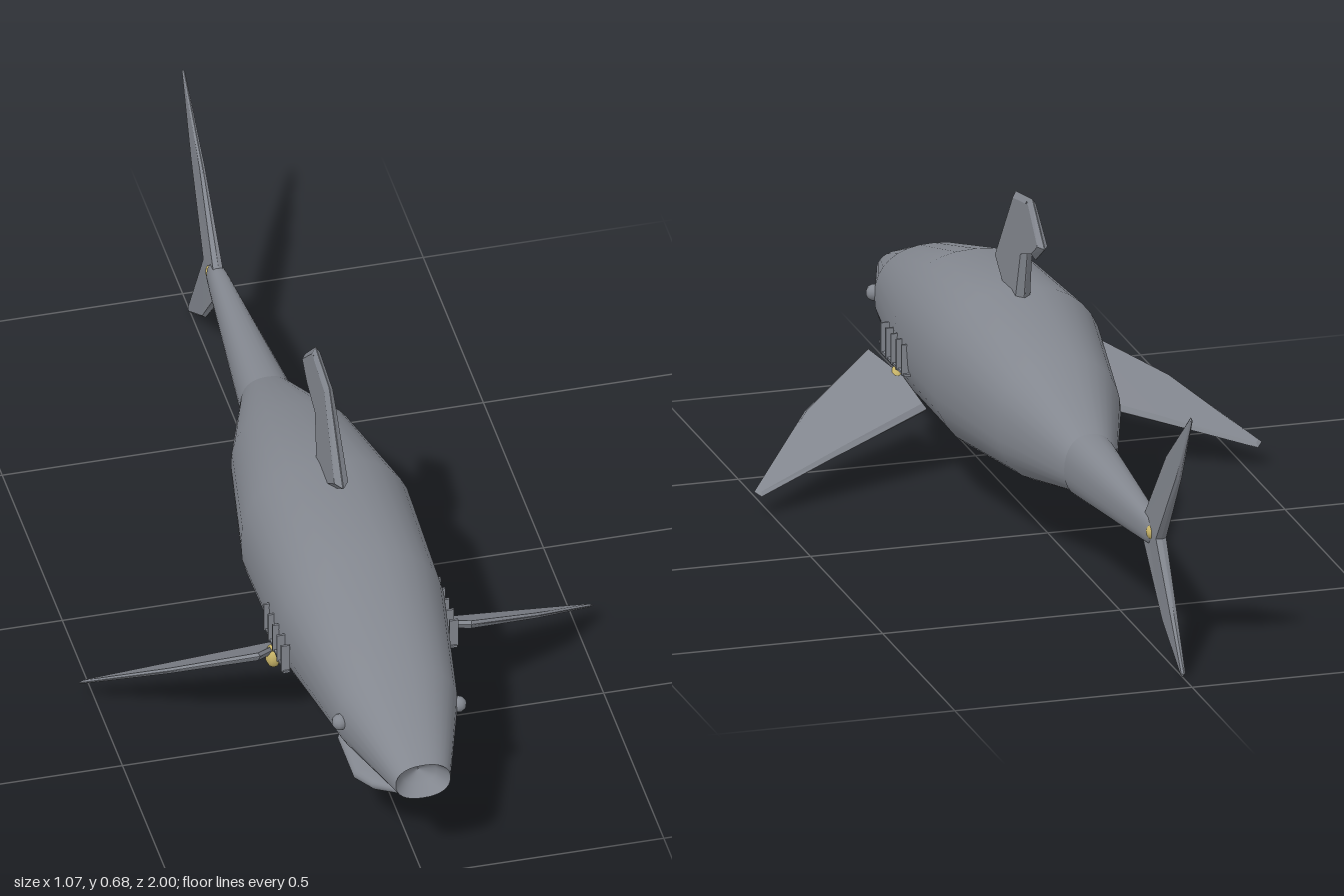
import * as THREE from 'three';

const skin = new THREE.MeshStandardMaterial({ color: 0x83878f });
skin.name = 'grey skin';
const brass = new THREE.MeshStandardMaterial({ color: 0xc8b468 });
brass.name = 'pale yellow joint';

// Skin over rounded rings [z, centreY, halfWidth, halfHeight], listed front to back
function loft(rings, capped = true, squareness = 2.3, sides = 32) {
  const pos = [], idx = [], n = rings.length;
  const round = v => Math.sign(v) * Math.pow(Math.abs(v), 2 / squareness);
  for (const [z, cy, rx, ry] of rings) {
    for (let j = 0; j < sides; j++) {
      const a = j / sides * Math.PI * 2;
      pos.push(rx * round(Math.cos(a)), cy + ry * round(Math.sin(a)), z);
    }
  }
  for (let i = 0; i < n - 1; i++) {
    for (let j = 0; j < sides; j++) {
      const k = (j + 1) % sides, a = i * sides, c = a + sides;
      idx.push(a + j, c + j, a + k, a + k, c + j, c + k);
    }
  }
  if (capped) {
    for (const [ring, flip] of [[0, false], [n - 1, true]]) {
      const base = pos.length / 3;
      const from = ring * sides * 3;
      const copy = pos.slice(from, from + sides * 3);
      pos.push(...copy, 0, rings[ring][1], rings[ring][0]);
      for (let j = 0; j < sides; j++) {
        const k = (j + 1) % sides;
        idx.push(base + sides, base + (flip ? k : j), base + (flip ? j : k));
      }
    }
  }
  const g = new THREE.BufferGeometry();
  g.setAttribute('position', new THREE.Float32BufferAttribute(pos, 3));
  g.setIndex(idx);
  g.computeVertexNormals();
  return g;
}

// Thin plate with chamfered edges, centred on its own plane
function plate(points, thickness, chamfer) {
  const shape = new THREE.Shape(points.map(p => new THREE.Vector2(p[0], p[1])));
  const depth = 0.002;
  const g = new THREE.ExtrudeGeometry(shape, {
    depth, bevelEnabled: true, bevelThickness: (thickness - depth) / 2,
    bevelSize: chamfer, bevelOffset: -chamfer, bevelSegments: 1
  });
  return g.translate(0, 0, -depth / 2);
}

// Move every vertex by a rule
function reshape(g, rule) {
  const p = g.attributes.position, v = new THREE.Vector3();
  for (let i = 0; i < p.count; i++) {
    rule(v.fromBufferAttribute(p, i));
    p.setXYZ(i, v.x, v.y, v.z);
  }
  g.computeVertexNormals();
  return g;
}

export function createModel() {
  const model = new THREE.Group();
  model.name = 'shark';
  const add = (name, geometry, material = skin, x = 0, y = 0, z = 0) => {
    const m = new THREE.Mesh(geometry, material);
    m.name = name;
    m.position.set(x, y, z);
    model.add(m);
    return m;
  };

  // Trunk, with a hollow at the blunt snout
  add('body', loft([
    [1, 0.238, 0.057, 0.041],
    [0.79, 0.26, 0.125, 0.102],
    [0.5, 0.275, 0.171, 0.17],
    [0.2, 0.285, 0.179, 0.175],
    [-0.08, 0.27, 0.13, 0.13],
    [-0.3, 0.247, 0.055, 0.062]
  ], false));
  add('snoutHollow', loft([
    [0.955, 0.238, 0.001, 0.001],
    [0.97, 0.238, 0.035, 0.025],
    [1, 0.238, 0.057, 0.041]
  ], false));

  // Tail stalk with rounded end
  add('tailStalk', loft([
    [-0.295, 0.243, 0.056, 0.068],
    [-0.69, 0.25, 0.022, 0.036],
    [-0.73, 0.25, 0.018, 0.031],
    [-0.75, 0.25, 0.009, 0.017]
  ]));

  // Lower jaw
  add('jaw', loft([
    [0.92, 0.163, 0.035, 0.013],
    [0.88, 0.154, 0.078, 0.021],
    [0.83, 0.148, 0.103, 0.025],
    [0.7, 0.148, 0.103, 0.025]
  ]));

  // Dorsal fin with hooked tip, thinner towards the top
  const dorsal = plate([
    [0.335, 0.49], [0.22, 0.66], [0.105, 0.68], [0.02, 0.6],
    [0.083, 0.557], [0.118, 0.655], [0.165, 0.43], [0.25, 0.43]
  ], 0.03, 0.012).rotateY(-Math.PI / 2);
  add('dorsalFin', reshape(dorsal, v => {
    v.x *= 1.05 - 0.5 * Math.max(0, (v.y - 0.45) / 0.23);
  }));

  // Tail fin, both lobes
  const tail = plate([
    [-0.7, 0.28], [-0.835, 0.445], [-0.99, 0.575], [-1, 0.57], [-0.91, 0.415], [-0.79, 0.25],
    [-0.865, 0.135], [-0.945, 0.012], [-0.935, 0.003], [-0.81, 0.083], [-0.69, 0.217]
  ], 0.022, 0.004).rotateY(-Math.PI / 2);
  add('tailFin', reshape(tail, v => {
    v.x *= 1 - 0.75 * Math.min(1, Math.abs(v.y - 0.25) / 0.3);
  }));

  // Paired parts
  for (const side of [1, -1]) {
    const label = side > 0 ? 'left' : 'right';

    // Pectoral fin: flat outline tilted down and back
    const fin = plate([
      [0.22, 0.523], [0.385, 0.42], [0.535, 0.275], [0.523, 0.262],
      [0.335, 0.32], [0.14, 0.378], [0.165, 0.45]
    ].map(([x, z]) => [x * side, z]), 0.02, 0.006).rotateX(Math.PI / 2);
    add(label + 'PectoralFin', reshape(fin, v => {
      const ax = Math.abs(v.x);
      v.y *= 1 - 0.6 * Math.max(0, (ax - 0.2) / 0.34);
      v.y += -0.0757 - 0.093 * ax + 0.65 * v.z;
    }));

    // Fin joint and eye
    const joint = add(label + 'FinJoint', new THREE.SphereGeometry(0.022, 12, 8), brass,
      side * 0.178, 0.197, 0.465);
    joint.scale.set(0.75, 1.2, 0.9);
    add(label + 'Eye', new THREE.SphereGeometry(0.017, 10, 8), skin, side * 0.123, 0.265, 0.8);

    // Gill slits joined along their lower ends
    for (let i = 0; i < 5; i++) {
      add(label + 'GillSlit', new THREE.BoxGeometry(0.018, 0.065, 0.005), skin,
        side * 0.175, 0.255, 0.41 + i * 0.036);
    }
    add(label + 'GillBase', new THREE.BoxGeometry(0.014, 0.005, 0.16), skin, side * 0.174, 0.224, 0.48);
  }

  // Tail joint
  add('tailJoint', new THREE.SphereGeometry(0.018, 12, 8), brass, 0, 0.25, -0.74);

  return model;
}
